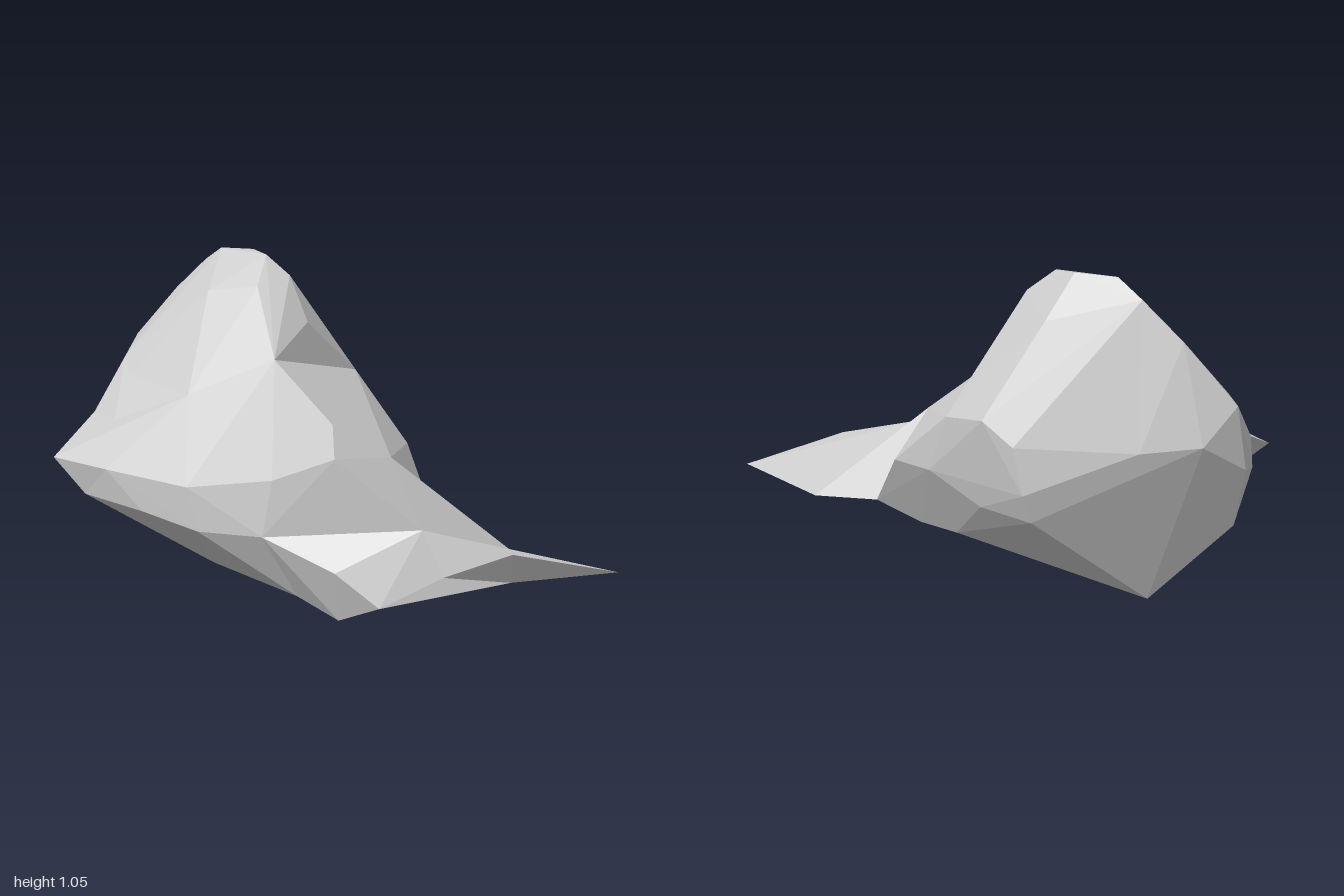
import * as THREE from 'three';
import { ConvexGeometry } from 'three/addons/geometries/ConvexGeometry.js';

// Corners shared by neighbouring chunks, so that the chunks meet without gaps
const P = {
  saddle: [-0.14, 0.72, 0], backRidge: [-0.25, 0.61, -0.52], backLow: [-0.16, 0.42, -0.51],
  rimMid: [-0.08, 0.37, 0.45], lipMid: [-0.04, 0.23, 0.44], baseMid: [0.02, 0.05, 0.2],
  baseDeep: [-0.27, 0.015, 0.17], baseBack: [-0.14, 0.175, -0.38], baseBackRight: [0.08, 0.14, -0.335],
  rimRight: [0.22, 0.43, 0.36], lipRight: [0.2, 0.25, 0.385], shoulder: [0.19, 0.555, 0.06],
  knee: [0.3, 0.44, -0.1], notch: [0.35, 0.14, -0.3], baseRight: [0.24, 0.04, 0.27],
  spur: [0.38, 0.505, 0.25], tailTop: [0.59, 0.29, 0.08], tailBack: [0.58, 0.12, -0.39],
  toe: [0.41, 0, 0.26], toeEdge: [0.56, 0.07, 0.24], tailSide: [0.66, 0.15, 0.06],
  tailUnder: [0.78, 0.12, -0.12], rimLeft: [-0.42, 0.38, 0.51], lipLeft: [-0.55, 0.27, 0.5],
  slope: [-0.31, 0.61, 0.24], cheek: [-0.78, 0.49, 0.28],
};
const pick = (...names) => names.map((n) => P[n]);

// Rings of corners around the hump
const crest = [
  [-0.36, 0.94, -0.13], [-0.23, 0.815, -0.25], [-0.34, 0.97, -0.27], [-0.43, 1.04, -0.24],
  [-0.54, 1.05, -0.28], [-0.67, 1.05, -0.24], [-0.77, 1.0, -0.25], [-0.52, 0.92, -0.38],
  [-0.52, 0.92, -0.04], [-0.88, 0.89, -0.2], [-1, 0.71, -0.1],
];
const leftFlank = [
  [-0.81, 0.67, 0.11], [-0.91, 0.46, 0.11], [-1, 0.51, -0.05], [-0.96, 0.6, -0.2],
];
const backFlank = [
  [-0.83, 0.58, -0.32], [-0.54, 0.58, -0.53], [-0.43, 0.64, -0.545], [-0.57, 0.44, -0.52],
];
const base = [
  [-0.57, 0.02, 0.06], [-0.71, 0.045, -0.12], [-0.93, 0.31, 0],
  [-0.57, 0.35, -0.485], [-0.37, 0.35, -0.495],
];

const chunks = {
  humpTop: [
    ...crest, ...leftFlank, ...backFlank, ...pick('slope', 'cheek', 'saddle', 'backRidge'),
  ],
  humpBase: [
    [-0.27, 0.26, 0.48], ...leftFlank, ...backFlank, ...base,
    ...pick('slope', 'cheek', 'rimLeft', 'lipLeft', 'saddle', 'backRidge', 'backLow',
      'rimMid', 'lipMid', 'baseMid', 'baseDeep', 'baseBack'),
  ],
  frontPoint: [[-0.67, 0.385, 0.54], ...pick('rimLeft', 'lipLeft', 'slope', 'cheek')],
  shoulder: [
    [0.06, 0.39, -0.46],
    ...pick('saddle', 'backRidge', 'backLow', 'rimMid', 'lipMid', 'baseMid', 'baseDeep', 'baseBack',
      'baseBackRight', 'rimRight', 'lipRight', 'shoulder', 'knee', 'notch', 'baseRight'),
  ],
  spur: pick('shoulder', 'spur', 'rimRight', 'lipRight', 'tailTop', 'knee', 'notch', 'tailBack'),
  foot: [
    [0.44, 0.17, 0.31],
    ...pick('lipRight', 'tailTop', 'toeEdge', 'toe', 'tailSide', 'tailBack', 'notch', 'baseRight'),
  ],
  tailRoot: pick('tailTop', 'tailBack', 'tailSide', 'toeEdge', 'tailUnder'),
  tailTip: [
    [0.99, 0.14, -0.39], [0.82, 0.23, -0.07],
    ...pick('tailTop', 'tailBack', 'tailSide', 'tailUnder'),
  ],
};

export function createModel() {
  const stone = new THREE.MeshStandardMaterial({ color: 0xcccccc, flatShading: true });
  stone.name = 'stone grey';

  // Each chunk of the rock is the faceted hull of its corners
  const rock = new THREE.Group();
  rock.name = 'rock';
  for (const [name, corners] of Object.entries(chunks)) {
    const mesh = new THREE.Mesh(new ConvexGeometry(corners.map((c) => new THREE.Vector3(...c))), stone);
    mesh.name = name;
    rock.add(mesh);
  }
  return rock;
}
